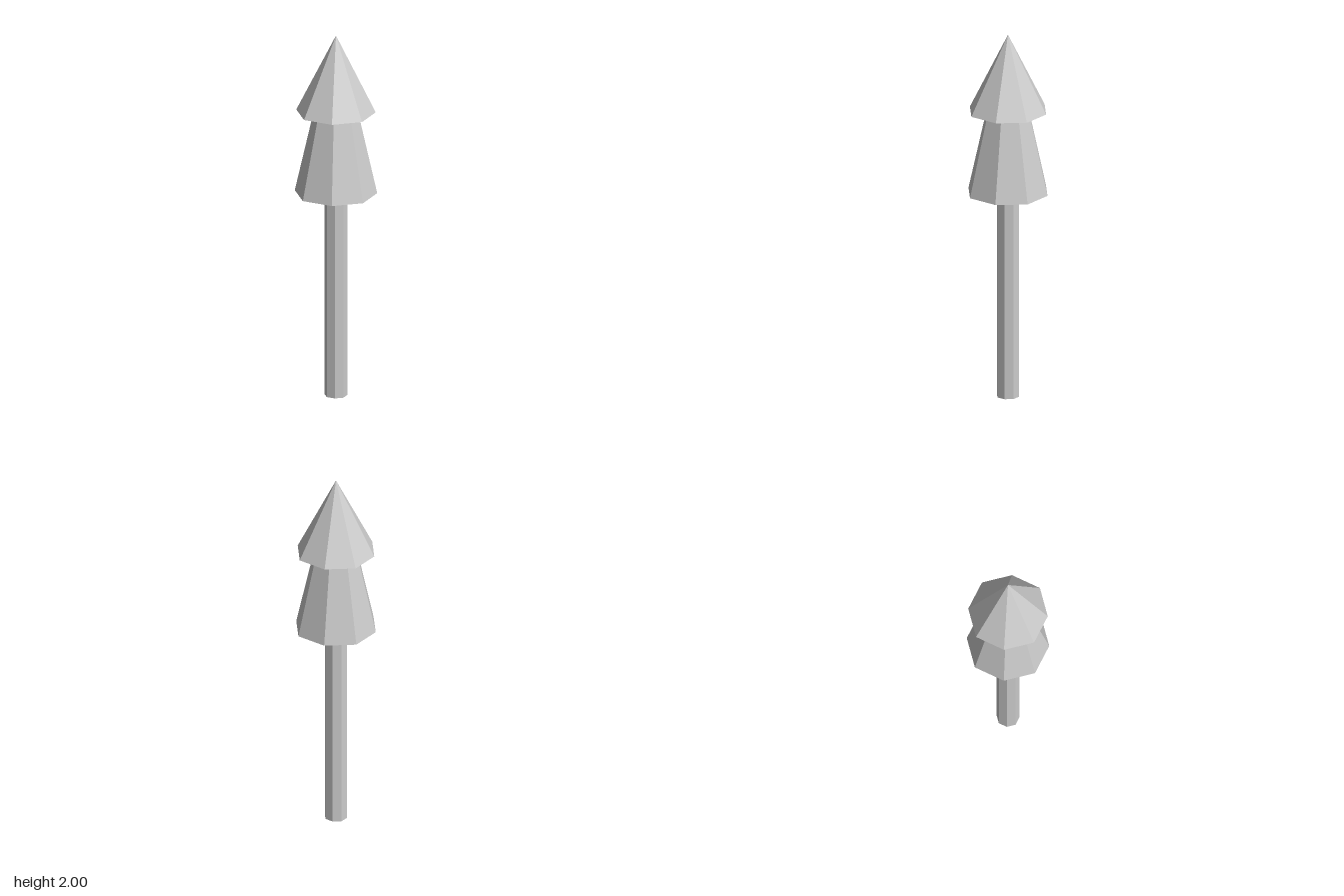
import * as THREE from 'three';

const SIDES = 8;
const DIAGONAL = 0.97; // the diagonal corners sit slightly further in

// Eight-sided faceted part from [radius, height] points, listed bottom to top
function facetedPart(name, profile, side = THREE.FrontSide) {
  const points = profile.map(([r, y]) => new THREE.Vector2(r, y));
  const geometry = new THREE.LatheGeometry(points, SIDES);
  const pos = geometry.attributes.position;
  for (let i = 0; i < pos.count; i++) {
    const x = pos.getX(i), z = pos.getZ(i);
    if (Math.abs(x * z) > 1e-6) pos.setXYZ(i, x * DIAGONAL, pos.getY(i), z * DIAGONAL);
  }
  const material = new THREE.MeshStandardMaterial({ color: 0xcccccc, flatShading: true, side });
  const mesh = new THREE.Mesh(geometry, material);
  mesh.name = name;
  return mesh;
}

export function createModel() {
  const tree = new THREE.Group();
  tree.name = 'tree';

  // Slim trunk, open at the bottom
  tree.add(facetedPart('trunk', [[0.062, 0], [0.062, 1.13]], THREE.DoubleSide));

  // Lower foliage: closed underside and tapering wall
  tree.add(facetedPart('lowerFoliage', [[0, 1.13], [0.223, 1.13], [0.119, 1.58]]));

  // Upper foliage: pointed cone with closed underside
  tree.add(facetedPart('upperFoliage', [[0, 1.58], [0.215, 1.58], [0, 2]]));

  return tree;
}
